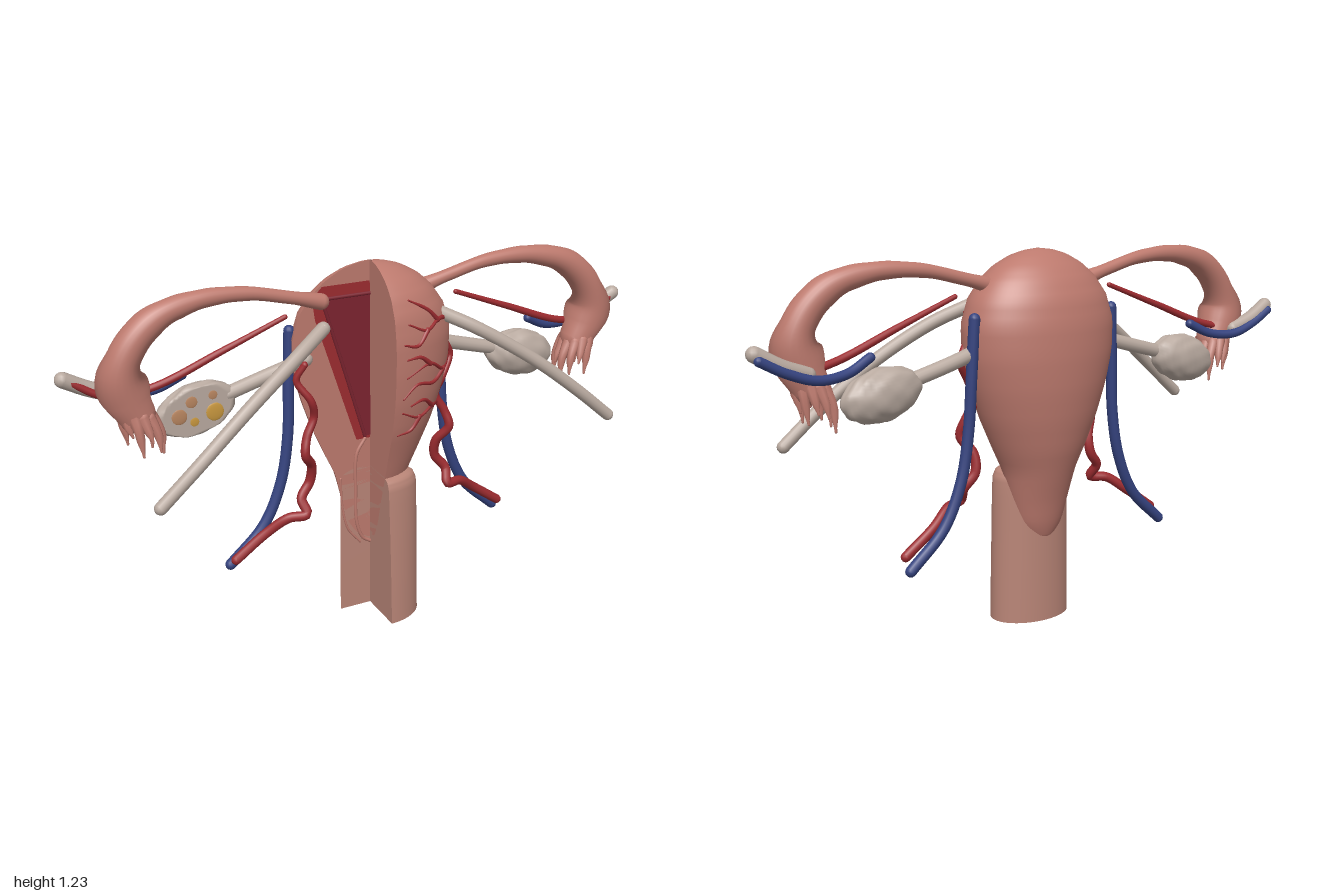
import * as THREE from 'three';

const mat = (color) => new THREE.MeshStandardMaterial({ color, side: THREE.DoubleSide });
const PINK = mat(0xbd7a6e), CANAL = mat(0xb98577), RED = mat(0x9c2c30), DARK = mat(0x7c2430);
const BLUE = mat(0x35437f), BEIGE = mat(0xb9aaa0), YELLOW = mat(0xc9983f), OCHRE = mat(0xb98660);
const CUT = -0.04; // front right quarter is removed in front of this plane

// Profiles from bottom to top: y, half width, front z, back z
const BODY = [[0.26, 0.01, -0.02, -0.05], [0.29, 0.055, 0, -0.08], [0.34, 0.085, 0.02, -0.097], [0.42, 0.105, 0.04, -0.115],
  [0.52, 0.128, 0.07, -0.145], [0.6, 0.165, 0.092, -0.17], [0.7, 0.208, 0.122, -0.192], [0.8, 0.242, 0.14, -0.206],
  [0.9, 0.266, 0.147, -0.211], [1, 0.27, 0.146, -0.206], [1.08, 0.245, 0.133, -0.188], [1.14, 0.203, 0.108, -0.158],
  [1.18, 0.157, 0.075, -0.126], [1.21, 0.102, 0.035, -0.09], [1.225, 0.052, 0, -0.06], [1.231, 0.004, -0.028, -0.042]];
const CANAL_WALL = [[0, 0.143, 0.126, -0.08], [0.15, 0.141, 0.12, -0.08], [0.3, 0.139, 0.112, -0.08], [0.45, 0.138, 0.102, -0.08],
  [0.49, 0.136, 0.098, -0.079], [0.515, 0.126, 0.088, -0.072], [0.527, 0.1, 0.06, -0.055]];

// Profile values at height y
function sample(profile, y) {
  let i = 0;
  while (i < profile.length - 2 && profile[i + 1][0] < y) i++;
  const a = profile[i], b = profile[i + 1], t = THREE.MathUtils.clamp((y - a[0]) / (b[0] - a[0]), 0, 1);
  return a.map((v, k) => v + (b[k] - v) * t);
}

// Surface through rows of points, rows running upwards
function loft(name, rows, material) {
  const n = rows[0].length, idx = [];
  for (let j = 0; j < rows.length - 1; j++) for (let i = 0; i < n - 1; i++) {
    const a = j * n + i, b = a + n;
    idx.push(a, a + 1, b + 1, a, b + 1, b);
  }
  const g = new THREE.BufferGeometry();
  g.setAttribute('position', new THREE.Float32BufferAttribute(rows.flat(2), 3));
  g.setIndex(idx);
  g.computeVertexNormals();
  const m = new THREE.Mesh(g, material);
  m.name = name;
  return m;
}

// Solid of half-ellipse sections with the front right quarter cut out
function cutSolid(name, profile, c, material) {
  const group = new THREE.Group();
  group.name = name;
  const curve = new THREE.CatmullRomCurve3(profile.map((p) => new THREE.Vector3(p[1], p[0], p[2])));
  const heights = curve.getPoints(profile.length * 3).map((p) => p.y);
  const skin = [], back = [], side = [];
  for (const y of heights) {
    const [, w, f, b] = sample(profile, y);
    const depth = Math.max(c - b, 0.001);
    const end = 2 * Math.PI - Math.acos(THREE.MathUtils.clamp((CUT - c) / depth, -1, 1));
    const row = [];
    for (let i = 0; i <= 56; i++) {
      const a = (i / 56) * end, k = Math.cos(a);
      row.push([w * Math.sin(a), y, c + k * (k > 0 ? Math.max(f - c, 0.001) : depth)]);
    }
    const edge = row[56], corner = [0, y, edge[2]];
    skin.push(row);
    back.push([edge, corner]);
    side.push([corner, row[0]]);
  }
  group.add(loft('outerSurface', skin, material), loft('cutFaceBack', back, material), loft('cutFaceSide', side, material));
  // Bottom cap
  const cap = new THREE.Shape([...skin[0], back[0][1]].map((p) => new THREE.Vector2(p[0], p[2])));
  const bottom = new THREE.Mesh(new THREE.ShapeGeometry(cap).rotateX(Math.PI / 2), material);
  bottom.position.y = profile[0][0];
  bottom.name = 'bottomFace';
  group.add(bottom);
  return group;
}

// Round strand along a path, with radii spread evenly along it
function strand(name, pts, radii, material, segs = 40, sides = 14) {
  const curve = new THREE.CatmullRomCurve3(pts.map((p) => new THREE.Vector3(...p)));
  const g = new THREE.TubeGeometry(curve, segs, 1, sides);
  const pos = g.attributes.position, v = new THREE.Vector3();
  const radius = (u) => {
    const t = u * (radii.length - 1), i = Math.min(Math.floor(t), radii.length - 2);
    return radii.length < 2 ? radii[0] : THREE.MathUtils.lerp(radii[i], radii[i + 1], THREE.MathUtils.smoothstep(t - i, 0, 1));
  };
  for (let i = 0; i <= segs; i++) {
    const p = curve.getPointAt(i / segs);
    for (let j = 0; j <= sides; j++) {
      const k = i * (sides + 1) + j;
      v.fromBufferAttribute(pos, k).sub(p).multiplyScalar(radius(i / segs)).add(p);
      pos.setXYZ(k, v.x, v.y, v.z);
    }
  }
  const group = new THREE.Group();
  group.name = name;
  group.add(new THREE.Mesh(g, material));
  for (const u of [0, 1]) {
    const end = new THREE.Mesh(new THREE.SphereGeometry(radius(u), sides, 8), material);
    end.position.copy(curve.getPointAt(u));
    group.add(end);
  }
  return group;
}

// Lumpy ovary, sliced open in front on the right side
function ovary(s) {
  const g = new THREE.SphereGeometry(1, 40, 28), pos = g.attributes.position;
  for (let i = 0; i < pos.count; i++) {
    const x = pos.getX(i), y = pos.getY(i), z = pos.getZ(i);
    const k = 1 + 0.025 * Math.sin(9 * x + 2 * y) * Math.sin(8 * y + 3 * z) + 0.02 * Math.sin(13 * z + 7 * x);
    const depth = z * k * 0.06;
    pos.setXYZ(i, x * k * 0.132, y * k * 0.08, s < 0 ? Math.min(depth, 0.022) : depth);
  }
  g.computeVertexNormals();
  const group = new THREE.Group();
  group.name = 'ovary';
  group.add(new THREE.Mesh(g, BEIGE));
  if (s < 0) for (const [x, y, r, m] of [[0.05, -0.025, 0.03, YELLOW], [-0.06, 0.005, 0.026, OCHRE],
    [-0.01, 0.035, 0.02, OCHRE], [0.06, 0.03, 0.016, OCHRE], [-0.02, -0.03, 0.016, YELLOW]]) {
    const follicle = new THREE.Mesh(new THREE.SphereGeometry(r, 16, 10).scale(1, 1, 0.15), m);
    follicle.position.set(x, y, 0.021);
    follicle.name = 'follicle';
    group.add(follicle);
  }
  group.position.set(s * 0.585, 0.83, -0.062);
  group.rotation.z = -s * 0.2 + (s < 0 ? 0.05 : 0);
  return group;
}

function sideParts(s) {
  const group = new THREE.Group();
  group.name = s > 0 ? 'leftSide' : 'rightSide';
  const add = (name, pts, radii, m, segs, sides) =>
    group.add(strand(name, pts.map(([x, y, z]) => [s * x, y, z]), radii, m, segs, sides));
  add('uterineTube', [[0.17, 1.12, -0.035], [0.28, 1.15, -0.03], [0.42, 1.182, -0.025], [0.58, 1.185, -0.015], [0.71, 1.15, -0.005],
    [0.79, 1.08, 0], [0.825, 1, 0], [0.81, 0.93, -0.003], [0.785, 0.87, -0.005]],
    [0.026, 0.02, 0.02, 0.023, 0.028, 0.036, 0.046, 0.05, 0.078, 0.058], PINK, 70, 24);
  // Fringe of tapering fingers round the mouth of the tube
  for (let i = 0; i < 11; i++) {
    const a = (i / 11) * Math.PI * 2, cx = Math.cos(a), cz = Math.sin(a), drop = 0.03 * Math.sin(i * 2.4);
    add('fringeFinger', [[0.785 + cx * 0.042, 0.875 + cx * 0.015, cz * 0.045 - 0.005], [0.772 + cx * 0.055, 0.825 + cx * 0.02, cz * 0.058 - 0.005],
      [0.765 + cx * 0.052, 0.775 + drop + cx * 0.02, cz * 0.062 - 0.005]], [0.02, 0.014, 0.004], PINK, 10, 8);
  }
  group.add(ovary(s));
  add('ovarianLigament', [[0.22, 0.935, -0.05], [0.34, 0.9, -0.06], [0.48, 0.862, -0.06]], [0.023], BEIGE);
  add('roundLigament', [[0.2, 1.06, 0.045], [0.32, 1, 0.105], [0.5, 0.885, 0.16], [0.66, 0.76, 0.188], [0.79, 0.65, 0.195]], [0.022, 0.02], BEIGE);
  add('suspensoryLigament', [[0.975, 0.987, -0.07], [0.9, 0.945, -0.075], [0.82, 0.915, -0.07]], [0.024], BEIGE);
  add('ovarianVein', [[0.62, 0.945, -0.065], [0.7, 0.908, -0.08], [0.8, 0.9, -0.095], [0.89, 0.928, -0.095], [0.97, 0.97, -0.09]], [0.015], BLUE);
  add('ovarianArtery', [[0.3, 1.095, -0.015], [0.5, 1.018, -0.02], [0.72, 0.935, -0.03], [0.85, 0.92, -0.05], [0.96, 0.98, -0.06]], [0.008, 0.012, 0.012], RED);
  add('uterineVein', [[0.265, 1.03, -0.07], [0.275, 0.85, -0.065], [0.285, 0.68, -0.06], [0.315, 0.52, -0.06], [0.38, 0.38, -0.06], [0.5, 0.265, -0.06]],
    [0.018], BLUE);
  add('uterineArtery', [[0.25, 0.94, 0.01], [0.275, 0.89, 0], [0.235, 0.82, 0.02], [0.22, 0.76, 0.005], [0.25, 0.7, 0.015], [0.262, 0.645, 0.028],
    [0.23, 0.59, 0], [0.232, 0.53, -0.012], [0.268, 0.48, 0], [0.262, 0.435, 0.028], [0.32, 0.425, 0.01], [0.39, 0.375, -0.015], [0.495, 0.3, -0.02]],
    [0.011, 0.016, 0.016], RED, 90, 10);
  return group;
}

// Branching vessels lying on the front of the body
function surfaceVessels() {
  const group = new THREE.Group();
  group.name = 'surfaceVessels';
  const twigs = [
    [[0.23, 1.04], [0.17, 1.05], [0.12, 1.03], [0.05, 1.06]], [[0.17, 1.05], [0.13, 1.09], [0.06, 1.13]], [[0.12, 1.03], [0.08, 0.99], [0.03, 1]],
    [[0.262, 0.9], [0.2, 0.88], [0.13, 0.92], [0.04, 0.89]], [[0.2, 0.88], [0.15, 0.85], [0.08, 0.86], [0.03, 0.82]],
    [[0.13, 0.92], [0.09, 0.95], [0.04, 0.95]], [[0.21, 0.74], [0.16, 0.76], [0.1, 0.74], [0.03, 0.77]],
    [[0.16, 0.76], [0.11, 0.8], [0.06, 0.79]], [[0.1, 0.74], [0.07, 0.7], [0.02, 0.69]]];
  for (const twig of twigs) {
    const pts = twig.map(([x, y]) => {
      const [, w, f] = sample(BODY, y);
      return [x, y, -0.03 + (f + 0.03) * Math.sqrt(Math.max(0, 1 - (x / w) ** 2))];
    });
    group.add(strand('vesselTwig', pts, [0.009, 0.006, 0.003], RED, 24, 8));
  }
  return group;
}

// Cavity lining and cervical channel seen on the cut face
function cavity() {
  const group = new THREE.Group();
  group.name = 'cavity';
  const panel = (name, pts, z, m) => {
    const mesh = new THREE.Mesh(new THREE.ShapeGeometry(new THREE.Shape(pts.map((p) => new THREE.Vector2(...p)))), m);
    mesh.position.z = CUT + z;
    mesh.name = name;
    group.add(mesh);
  };
  panel('lining', [[0, 0.63], [0, 1.165], [-0.165, 1.165], [-0.2, 1.13], [-0.19, 1.06], [-0.05, 0.63]], 0.002, RED);
  panel('cavityFloor', [[0, 0.64], [0, 1.125], [-0.165, 1.125], [-0.02, 0.64]], 0.004, DARK);
  const rim = (pts, r, m) => group.add(strand('rim', pts.map(([x, y]) => [x, y, CUT + 0.003]), [r], m, 40, 8));
  rim([[0, 1.125], [-0.08, 1.125], [-0.155, 1.125]], 0.006, DARK);
  rim([[-0.165, 1.12], [-0.09, 0.875], [-0.02, 0.64]], 0.006, DARK);
  rim([[-0.02, 0.63], [-0.05, 0.58], [-0.055, 0.45], [-0.052, 0.33], [-0.03, 0.265], [-0.003, 0.245]], 0.006, PINK);
  rim([[-0.11, 0.5], [-0.105, 0.4], [-0.085, 0.31], [-0.04, 0.25]], 0.004, PINK);
  return group;
}

export function createModel() {
  const model = new THREE.Group();
  model.name = 'anatomyModel';
  model.add(cutSolid('body', BODY, -0.03, PINK), cutSolid('lowerCanal', CANAL_WALL, 0.02, CANAL));
  model.add(cavity(), surfaceVessels(), sideParts(1), sideParts(-1));
  return model;
}
